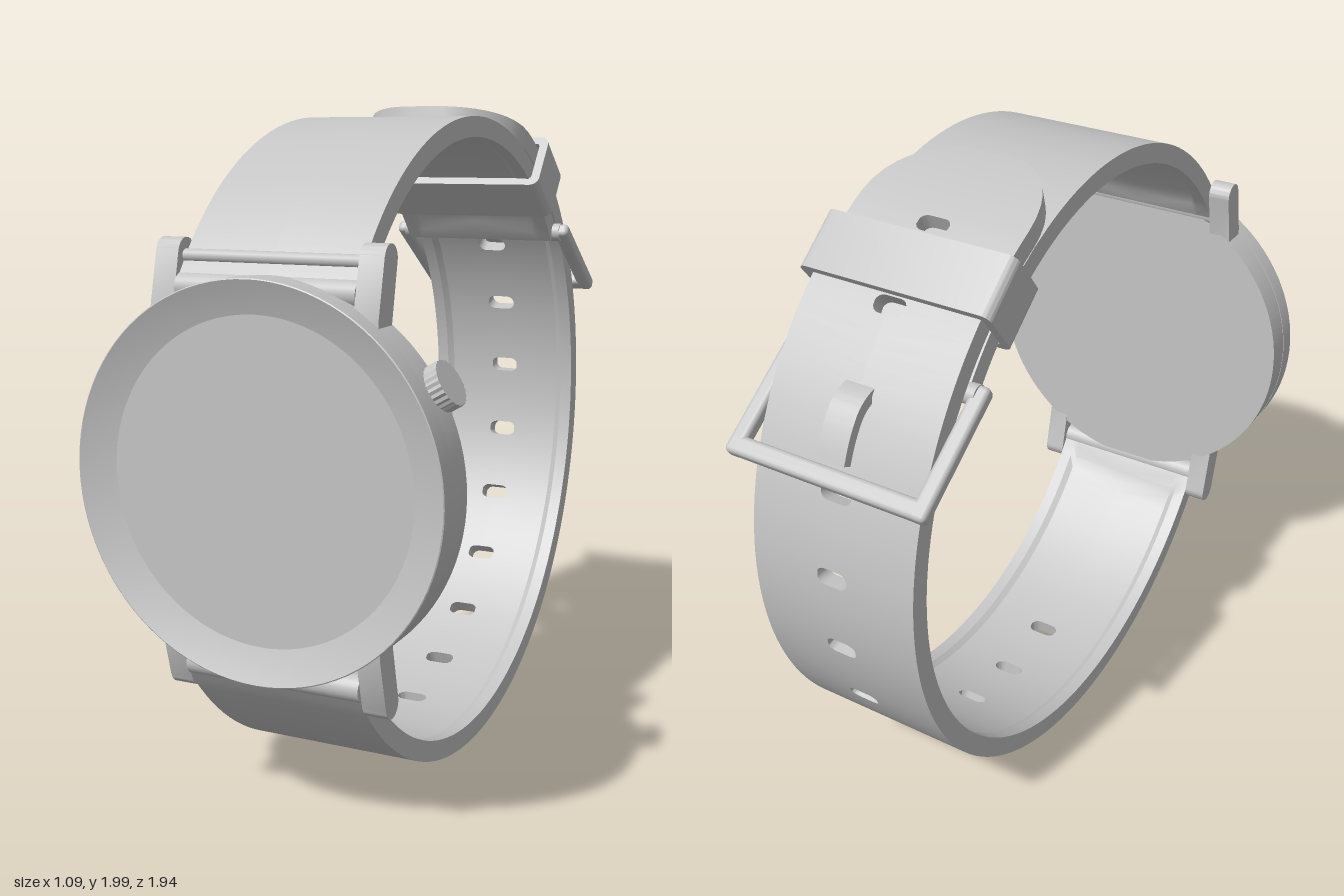
import * as THREE from 'three';
import { toCreasedNormals } from 'three/addons/utils/BufferGeometryUtils.js';
import { RoundedBoxGeometry } from 'three/addons/geometries/RoundedBoxGeometry.js';

const RAD = Math.PI / 180;
const grey = new THREE.MeshStandardMaterial({ color: 0xc4c4c4 });
grey.name = 'plain grey';

function part(name, geometry, parent, x = 0, y = 0, z = 0) {
  const mesh = new THREE.Mesh(geometry, grey);
  mesh.name = name;
  mesh.position.set(x, y, z);
  parent.add(mesh);
  return mesh;
}

// Curved strap: angles run from the top (0) towards the back, in degrees.
function strapGeometry({ cy, cz, rIn, rOut, from, to, holes = [], tip = 0 }) {
  const half = 0.265, hr = 0.025, rMid = (rIn + rOut) / 2;
  const s0 = from * RAD * rMid, s1 = to * RAD * rMid;
  const centres = holes.map((a) => a * RAD * rMid);
  const rows = [];
  const n = Math.ceil((to - from) / 2.5);
  for (let i = 0; i <= n; i++) rows.push(s0 + ((s1 - s0) * i) / n);
  if (tip) for (const f of [0.01, 0.03, 0.07, 0.13, 0.25, 0.4, 0.6, 0.8]) rows.push(s0 + f * tip);
  for (const c of centres)
    for (const u of [0.0252, 0.025, 0.0235, 0.019, 0.011]) rows.push(c - u, c + u);
  rows.sort((a, b) => a - b);

  const sections = rows.map((s) => {
    const c = centres.find((k) => Math.abs(s - k) < hr + 1e-5);
    const h = c === undefined ? 0 : hr + Math.sqrt(Math.max(0, hr * hr - (s - c) ** 2));
    const k = tip ? Math.max(0, (tip - (s - s0)) / tip) : 0;
    const w = 0.04 + (half - 0.04) * Math.sqrt(Math.max(0, 1 - k * k));
    // shallow recess along the inner face
    const d = 0.012 * THREE.MathUtils.clamp((Math.min(s - s0, s1 - s) - 0.05) / 0.04, 0, 1);
    const loop = [[h, rIn + d], [Math.max(h, w - 0.06), rIn + d], [Math.max(h, w - 0.04), rIn],
      [w, rIn], [w, rOut], [h, rOut]];
    const a = s / rMid;
    return loop.map(([x, r]) => [x, cy + r * Math.cos(a), cz - r * Math.sin(a)]);
  });

  const pos = [];
  for (const side of [1, -1]) {
    const tri = (a, b, c) => {
      for (const p of side > 0 ? [a, b, c] : [a, c, b]) pos.push(p[0] * side, p[1], p[2]);
    };
    for (let i = 0; i + 1 < sections.length; i++) {
      const A = sections[i], B = sections[i + 1];
      for (let j = 0; j < 6; j++) {
        const k = (j + 1) % 6;
        tri(A[j], B[k], A[k]);
        tri(A[j], B[j], B[k]);
      }
    }
    const first = sections[0], last = sections[sections.length - 1];
    for (let j = 0; j < 4; j++) {
      tri(first[5], first[j], first[j + 1]);
      tri(last[5], last[j + 1], last[j]);
    }
  }
  const g = new THREE.BufferGeometry();
  g.setAttribute('position', new THREE.Float32BufferAttribute(pos, 3));
  return toCreasedNormals(g, 0.5);
}

// Solid of revolution facing +z
function disc(points) {
  const g = new THREE.LatheGeometry(points.map(([r, z]) => new THREE.Vector2(r, z)), 96);
  return toCreasedNormals(g.rotateX(Math.PI / 2), 0.3);
}

// Outline given as [z, y], extruded across x and centred
function sideExtrude(shape, width) {
  const g = new THREE.ExtrudeGeometry(shape, { depth: width, bevelEnabled: false, curveSegments: 12 });
  g.translate(0, 0, -width / 2).rotateY(-Math.PI / 2);
  return toCreasedNormals(g, 0.5);
}

function roundedRect(path, w, h, r) {
  path.moveTo(-w + r, -h);
  path.lineTo(w - r, -h).absarc(w - r, -h + r, r, -Math.PI / 2, 0);
  path.lineTo(w, h - r).absarc(w - r, h - r, r, 0, Math.PI / 2);
  path.lineTo(-w + r, h).absarc(-w + r, h - r, r, Math.PI / 2, Math.PI);
  path.lineTo(-w, -h + r).absarc(-w + r, -h + r, r, Math.PI, Math.PI * 1.5);
  return path;
}

function crossBar(radius, length) {
  return new THREE.CylinderGeometry(radius, radius, length, 24).rotateZ(Math.PI / 2);
}

export function createModel() {
  const watch = new THREE.Group();
  watch.name = 'wristwatch';
  const midY = 1.01;

  // Case, dished bezel and dial
  part('caseBody', disc([[0, 0.82], [0.54, 0.82], [0.54, 0.904], [0, 0.904]]), watch, 0, midY);
  part('bezel', disc([[0.4, 0.905], [0.541, 0.905], [0.541, 0.967], [0.538, 0.969], [0.445, 0.93], [0.4, 0.92]]), watch, 0, midY);
  part('dial', disc([[0, 0.91], [0.445, 0.91], [0.445, 0.93], [0, 0.93]]), watch, 0, midY);

  // Four lugs
  const lug = new THREE.Shape();
  lug.moveTo(0.825, 0.36);
  lug.lineTo(0.903, 0.36).lineTo(0.903, 0.44).lineTo(0.865, 0.6);
  lug.absarc(0.827, 0.59, 0.038, 0.25, Math.PI + 0.25);
  lug.lineTo(0.825, 0.42);
  const lugGeometry = sideExtrude(lug, 0.07);
  for (const x of [-0.3, 0.3]) {
    part('upperLug', lugGeometry, watch, x, midY);
    part('lowerLug', lugGeometry, watch, x, midY).rotation.z = Math.PI;
  }

  // Crown with a knurled edge, set at thirty degrees
  const crown = new THREE.Group();
  crown.name = 'crown';
  crown.position.set(0, midY, 0.865);
  crown.rotation.z = -60 * RAD;
  watch.add(crown);
  const knob = new THREE.Shape();
  for (let i = 0; i < 48; i++) {
    const r = i % 2 ? 0.061 : 0.064, a = (i / 48) * Math.PI * 2;
    knob[i ? 'lineTo' : 'moveTo'](r * Math.cos(a), r * Math.sin(a));
  }
  const knobGeometry = new THREE.ExtrudeGeometry(knob, { depth: 0.038, bevelEnabled: false });
  part('crownKnob', knobGeometry.rotateX(-Math.PI / 2), crown, 0, 0.555, 0);
  part('crownStem', new THREE.CylinderGeometry(0.025, 0.025, 0.08, 20), crown, 0, 0.54, 0);

  // Straps
  const holes = Array.from({ length: 12 }, (_, i) => 28 + 14.6 * i);
  part('holedStrap', strapGeometry({ cy: 1.006, cz: 0.05, rIn: 0.943, rOut: 1.005, from: 10, to: 236, holes, tip: 0.26 }), watch);
  part('buckleStrap', strapGeometry({ cy: 1.01, cz: 0.08, rIn: 0.89, rOut: 0.95, from: -57.5, to: 52.5 }), watch);
  part('lowerStrapEnd', crossBar(0.038, 0.53), watch, 0, 0.465, 0.855);
  part('upperStrapEnd', crossBar(0.038, 0.53), watch, 0, 1.51, 0.855);
  for (const y of [0.43, 1.59]) part('springBar', crossBar(0.018, 0.56), watch, 0, y, 0.83);

  // Keeper loop around both straps
  const loop = roundedRect(new THREE.Shape(), 0.3, 0.096, 0.03);
  loop.holes.push(roundedRect(new THREE.Path(), 0.272, 0.07, 0.012));
  const loopGeometry = new THREE.ExtrudeGeometry(loop, { depth: 0.178, bevelEnabled: false, curveSegments: 8 });
  loopGeometry.translate(0, 0, -0.089);
  part('keeper', toCreasedNormals(loopGeometry, 0.5), watch, 0, 1.77, -0.5).rotation.x = -38.1 * RAD;

  // Buckle frame, hinged on the end of the shorter strap
  const buckle = new THREE.Group();
  buckle.name = 'buckle';
  buckle.position.set(0, 1.58, -0.66);
  buckle.rotation.x = -34.9 * RAD;
  watch.add(buckle);
  for (const x of [-0.295, 0.295])
    part('buckleArm', new RoundedBoxGeometry(0.05, 0.045, 0.39, 3, 0.015), buckle, x, 0, -0.17);
  part('buckleBar', new RoundedBoxGeometry(0.64, 0.045, 0.055, 3, 0.015), buckle, 0, 0, -0.337);
  part('bucklePivot', crossBar(0.03, 0.58), buckle);

  // Tongue passing out through a hole and onto the bar
  const tongue = new THREE.Shape();
  tongue.moveTo(-0.65, 1.565);
  tongue.lineTo(-0.65, 1.6).lineTo(-0.75, 1.585);
  tongue.quadraticCurveTo(-0.81, 1.585, -0.85, 1.545);
  tongue.quadraticCurveTo(-0.89, 1.5, -0.918, 1.425);
  tongue.lineTo(-0.893, 1.412);
  tongue.quadraticCurveTo(-0.865, 1.48, -0.83, 1.52);
  tongue.quadraticCurveTo(-0.8, 1.55, -0.75, 1.55);
  part('buckleTongue', sideExtrude(tongue, 0.09), watch);

  // sideExtrude lays its outline from x onto +z
  return watch;
}
